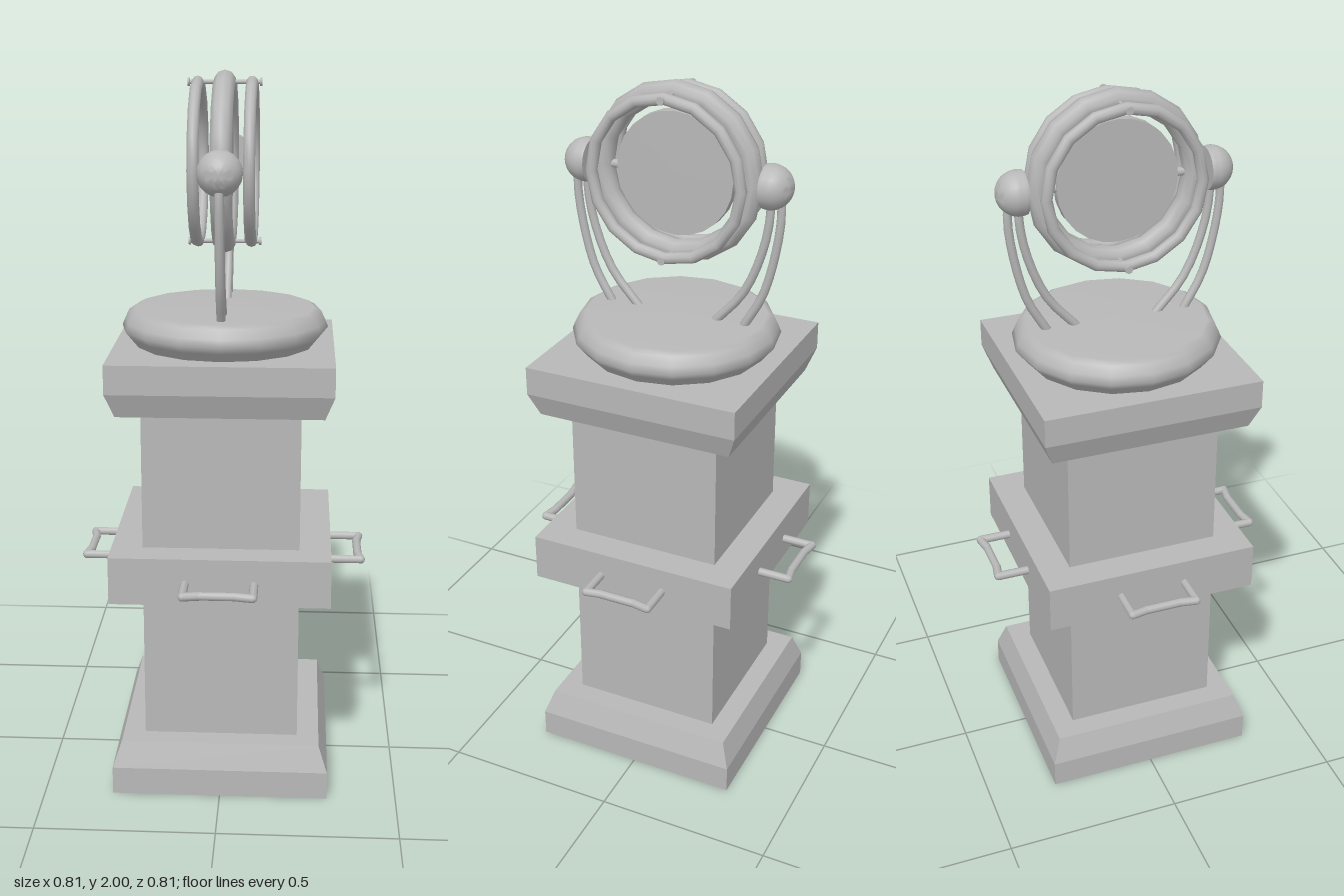
import * as THREE from 'three';
import { toCreasedNormals } from 'three/addons/utils/BufferGeometryUtils.js';

const stone = new THREE.MeshStandardMaterial({ color: 0xb8b8b8 });
stone.name = 'plain grey';

const V = (x, y, z) => new THREE.Vector3(x, y, z);

function add(parent, name, geometry, x = 0, y = 0, z = 0) {
  const mesh = new THREE.Mesh(geometry, stone);
  mesh.name = name;
  mesh.position.set(x, y, z);
  parent.add(mesh);
  return mesh;
}

// Square block between two heights, with half widths at bottom and top
function block(parent, name, y0, y1, bottom, top = bottom) {
  const g = new THREE.CylinderGeometry(top * Math.SQRT2, bottom * Math.SQRT2, y1 - y0, 4);
  add(parent, name, toCreasedNormals(g.rotateY(Math.PI / 4), 0.3), 0, (y0 + y1) / 2, 0);
}

// Straight round bar between two points
function bar(parent, name, a, b, r, sides = 8) {
  const g = new THREE.CylinderGeometry(r, r, a.distanceTo(b), sides);
  const mesh = add(parent, name, g);
  mesh.position.copy(a).add(b).multiplyScalar(0.5);
  mesh.quaternion.setFromUnitVectors(V(0, 1, 0), b.clone().sub(a).normalize());
}

// Bracket handle reaching out along +z
function handle() {
  const group = new THREE.Group();
  group.name = 'handle';
  const pts = [[-0.095, 0.29], [-0.095, 0.393], [-0.05, 0.385], [0.05, 0.385], [0.095, 0.393], [0.095, 0.29]]
    .map(([x, z]) => V(x, 0.648, z));
  for (let i = 0; i < pts.length - 1; i++) {
    bar(group, 'handleBar', pts[i], pts[i + 1], 0.012);
    if (i > 0) add(group, 'handleJoint', new THREE.SphereGeometry(0.012, 8, 6), ...pts[i].toArray());
  }
  return group;
}

export function createModel() {
  const model = new THREE.Group();
  model.name = 'pedestalWithLens';

  // Pedestal
  block(model, 'plinth', 0, 0.08, 0.305);
  block(model, 'plinthBevel', 0.08, 0.152, 0.305, 0.28);
  block(model, 'shaft', 0.15, 1.12, 0.218);
  block(model, 'middleBand', 0.585, 0.72, 0.305);
  block(model, 'capBevel', 1.113, 1.18, 0.28, 0.305);
  block(model, 'cap', 1.18, 1.26, 0.305);

  // Handles on all four sides of the band
  for (let i = 0; i < 4; i++) {
    const h = handle();
    h.rotation.y = i * Math.PI / 2;
    model.add(h);
  }

  // Round turntable
  const profile = [[0.25, 1.258], [0.272, 1.285], [0.288, 1.305], [0.28, 1.325], [0.268, 1.35], [0.25, 1.36], [0, 1.362]]
    .map(([r, y]) => new THREE.Vector2(r, y));
  add(model, 'turntable', new THREE.LatheGeometry(profile, 16).rotateY(Math.PI / 2));

  // Lens head, facing along x
  const head = new THREE.Group();
  head.name = 'lensHead';
  head.position.y = 1.755;
  model.add(head);
  const ring = (name, R, r, x) =>
    add(head, name, new THREE.TorusGeometry(R, r, 10, 16).rotateY(Math.PI / 2), x, 0, 0);
  ring('mainRing', 0.215, 0.03, 0);
  for (const s of [-1, 1]) ring('sideRing', 0.213, 0.016, s * 0.073);
  const disc = new THREE.CylinderGeometry(0.167, 0.167, 0.03, 24).rotateZ(Math.PI / 2);
  add(head, 'lensDisc', toCreasedNormals(disc, 0.6));

  for (const s of [-1, 1]) {
    // Pins through the rings at top and bottom, with end caps
    bar(head, 'crossPin', V(-0.1, s * 0.213, 0), V(0.1, s * 0.213, 0), 0.006);
    for (const e of [-1, 1]) {
      bar(head, 'pinCap', V(e * 0.094, s * 0.213, 0), V(e * 0.1, s * 0.213, 0), 0.011);
    }
    // Pivot between disc and main ring
    bar(head, 'discPivot', V(0, 0, s * 0.155), V(0, 0, s * 0.21), 0.012);

    // Side knob with its inner face cut flat
    const r = 0.06, cut = -0.016, arc = [new THREE.Vector2(0, cut)];
    const start = Math.asin(cut / r);
    for (let i = 0; i <= 10; i++) {
      const a = start + (Math.PI / 2 - start) * i / 10;
      arc.push(new THREE.Vector2(r * Math.cos(a), r * Math.sin(a)));
    }
    const knob = new THREE.LatheGeometry(arc, 20).rotateX(s * Math.PI / 2);
    add(head, 'sideKnob', toCreasedNormals(knob, 0.9), 0, 0, s * 0.265);

    // Pair of curved yoke arms down to the turntable
    const arms = [
      [[0.29, 1.74], [0.296, 1.69], [0.284, 1.58], [0.25, 1.45], [0.198, 1.355]],
      [[0.262, 1.74], [0.266, 1.69], [0.248, 1.58], [0.195, 1.45], [0.115, 1.355]],
    ];
    for (const arm of arms) {
      const curve = new THREE.CatmullRomCurve3(arm.map(([z, y]) => V(0, y, s * z)));
      add(model, 'yokeArm', new THREE.TubeGeometry(curve, 10, 0.012, 8));
    }
  }
  return model;
}
